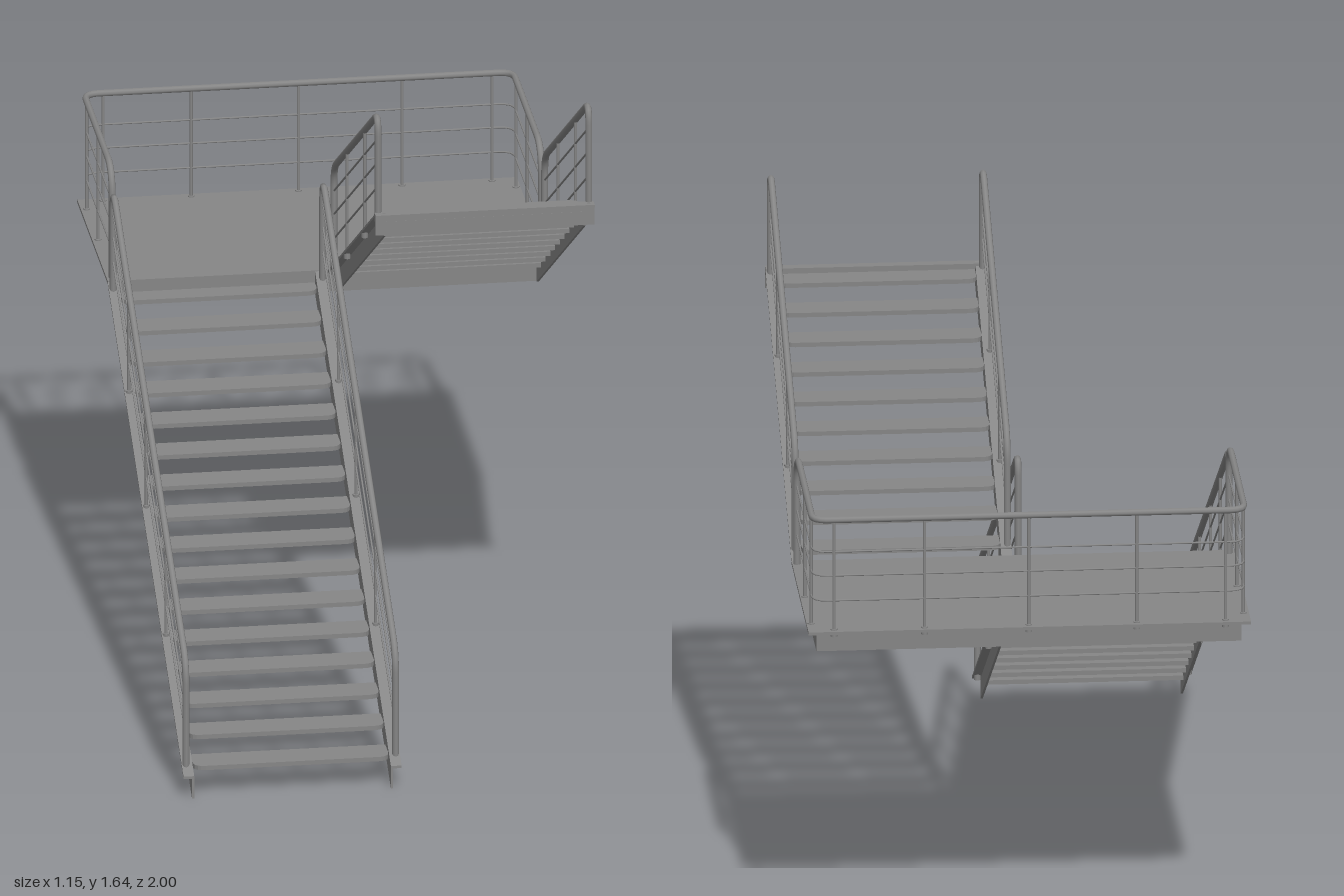
import * as THREE from 'three';

const steel = new THREE.MeshStandardMaterial({ color: 0x868686, side: THREE.DoubleSide });
const V = (x, y, z) => new THREE.Vector3(x, y, z);
const SLOPE = 0.571;
const BAR_HEIGHTS = [0.08, 0.148, 0.213];
const POST_RADIUS = 0.0042, BAR_RADIUS = 0.0026;

function add(parent, name, geometry) {
  const mesh = new THREE.Mesh(geometry, steel);
  mesh.name = name;
  parent.add(mesh);
  return mesh;
}

// Box given by its limits on each axis
function box(parent, name, x0, x1, y0, y1, z0, z1) {
  const g = new THREE.BoxGeometry(x1 - x0, y1 - y0, z1 - z0);
  g.translate((x0 + x1) / 2, (y0 + y1) / 2, (z0 + z1) / 2);
  return add(parent, name, g);
}

// Side outline in (z, y), extruded from x0 to x1
function slab(parent, name, outline, x0, x1) {
  const shape = new THREE.Shape(outline.map(([z, y]) => new THREE.Vector2(z, y)));
  const g = new THREE.ExtrudeGeometry(shape, { depth: x1 - x0, bevelEnabled: false });
  g.rotateY(-Math.PI / 2).translate(x1, 0, 0);
  return add(parent, name, g);
}

// Tube along a polyline whose inner corners are rounded
function bentTube(parent, name, points, corner, radius, segments) {
  const path = new THREE.CurvePath();
  let from = points[0];
  for (let i = 1; i < points.length - 1; i++) {
    const p = points[i];
    const a = p.clone().add(points[i - 1].clone().sub(p).setLength(corner[i - 1]));
    const b = p.clone().add(points[i + 1].clone().sub(p).setLength(corner[i - 1]));
    path.add(new THREE.LineCurve3(from, a));
    path.add(new THREE.QuadraticBezierCurve3(a, p, b));
    from = b;
  }
  path.add(new THREE.LineCurve3(from, points[points.length - 1]));
  return add(parent, name, new THREE.TubeGeometry(path, segments, radius, 8, false));
}

// Straight round bar between two points
function rod(parent, name, a, b, radius) {
  const g = new THREE.CylinderGeometry(radius, radius, a.distanceTo(b), 8);
  const mesh = add(parent, name, g);
  mesh.position.copy(a).lerp(b, 0.5);
  mesh.quaternion.setFromUnitVectors(V(0, 1, 0), b.clone().sub(a).normalize());
  return mesh;
}

const foot = (parent, x, y, z) =>
  rod(parent, 'postFoot', V(x, y - 0.018, z), V(x, y + 0.003, z), 0.009);

// Thin plate with rounded corners on its nosing (+z) edge
function treadGeometry(width, depth) {
  const w = width / 2, d = depth / 2, r = 0.03;
  const s = new THREE.Shape();
  s.moveTo(-w + r, -d);
  s.lineTo(w - r, -d).quadraticCurveTo(w, -d, w, -d + r);
  s.lineTo(w, d).lineTo(-w, d);
  s.lineTo(-w, -d + r).quadraticCurveTo(-w, -d, -w + r, -d);
  const g = new THREE.ExtrudeGeometry(s, { depth: 0.012, bevelEnabled: false, curveSegments: 5 });
  return g.rotateX(-Math.PI / 2);
}

// Angle-section stringer: upright web and an outward top flange
function stringer(parent, topAt, z0, z1, web, side) {
  const strip = (height) => [
    [z0, topAt(z0) - height], [z1, topAt(z1) - height], [z1, topAt(z1)], [z0, topAt(z0)],
  ];
  const edge = web + side * 0.025;
  slab(parent, 'stringerWeb', strip(0.062), web - 0.003, web + 0.003);
  slab(parent, 'stringerFlange', strip(0.007), Math.min(web, edge), Math.max(web, edge));
}

// Handrail with bent ends, thin posts and three sloping bars
function stairRail(parent, topAt, x, zA, zB, posts) {
  const rise = 0.28;
  const at = (z, h) => V(x, topAt(z) + h, z);
  bentTube(parent, 'handrail', [at(zA, 0), at(zA, rise), at(zB, rise), at(zB, 0)],
    [0.055, 0.055], 0.009, 120);
  for (const z of posts) rod(parent, 'railPost', at(z, 0), at(z, rise), POST_RADIUS);
  for (const z of [zA, zB, ...posts]) foot(parent, x, topAt(z), z);
  for (const h of BAR_HEIGHTS) rod(parent, 'railBar', at(zA, h), at(zB, h), BAR_RADIUS);
}

function flight(name, o) {
  const group = new THREE.Group();
  group.name = name;
  stringer(group, o.topAt, o.z0, o.z1, o.webs[0], -1);
  stringer(group, o.topAt, o.z0, o.z1, o.webs[1], 1);
  const tread = treadGeometry(o.webs[1] - o.webs[0] - 0.008, 0.085);
  for (let i = 0; i < o.count; i++) {
    const mesh = add(group, 'tread', tread);
    mesh.position.set((o.webs[0] + o.webs[1]) / 2, o.treadY + i * 0.0508,
      o.treadZ + o.dir * (i * o.run + 0.0425));
    // The nosing faces down the flight
    mesh.rotation.y = o.dir > 0 ? Math.PI : 0;
  }
  for (const x of o.rails) stairRail(group, o.topAt, x, o.railZ[0], o.railZ[1], o.posts);
  return group;
}

function landing() {
  const group = new THREE.Group();
  group.name = 'landing';
  const top = 0.88, low = 0.82;
  box(group, 'landingPlate', -0.575, 0.572, top - 0.008, top, -1, -0.425);
  // Frame webs and joists below the plate
  for (const x of [-0.549, 0.547]) box(group, 'frameSide', x - 0.003, x + 0.003, low, top - 0.004, -0.975, -0.425);
  for (const z of [-0.972, -0.428]) box(group, 'frameEnd', -0.549, 0.547, low, top - 0.004, z - 0.003, z + 0.003);
  for (const x of [-0.275, 0, 0.275]) box(group, 'joist', x - 0.004, x + 0.004, 0.83, top - 0.004, -0.972, -0.428);

  // Guard rail wrapping three sides
  const X = 0.56, zF = -0.45, zB = -0.982, railY = 1.18;
  bentTube(group, 'guardRail', [
    V(-X, top, zF), V(-X, railY, zF), V(-X, railY, zB),
    V(X, railY, zB), V(X, railY, zF), V(X, top, zF),
  ], [0.08, 0.04, 0.04, 0.08], 0.009, 200);
  for (const h of BAR_HEIGHTS) {
    const y = top + h;
    bentTube(group, 'guardBar', [V(-X, y, zF), V(-X, y, zB), V(X, y, zB), V(X, y, zF)],
      [0.04, 0.04], BAR_RADIUS, 120);
  }
  const posts = [-0.51, -0.28, 0, 0.27, 0.505].map((x) => [x, zB]);
  for (const x of [-X, X]) posts.push([x, -0.715], [x, -0.93]);
  for (const [x, z] of posts) {
    rod(group, 'guardPost', V(x, top, z), V(x, railY, z), POST_RADIUS);
    foot(group, x, top, z);
  }
  for (const x of [-X, X]) foot(group, x, top, zF);
  return group;
}

export function createModel() {
  const model = new THREE.Group();
  model.name = 'staircase';

  model.add(flight('lowerFlight', {
    topAt: (z) => 0.064 + SLOPE * (1 - z),
    z0: 1, z1: -0.425, webs: [-0.55, -0.031], count: 16, dir: -1, run: 0.09,
    treadY: 0.073, treadZ: 0.985,
    rails: [-0.564, -0.017], railZ: [0.965, -0.405], posts: [0.59, 0.22, -0.11],
  }));
  model.add(landing());

  const upper = flight('upperFlight', {
    topAt: (z) => 0.88 + SLOPE * (z + 0.425),
    z0: -0.425, z1: 0.455, webs: [0.025, 0.547], count: 10, dir: 1, run: 0.0885,
    treadY: 0.893, treadZ: -0.42,
    rails: [0.01, 0.56], railZ: [0.44, -0.39], posts: [0.19, -0.14],
  });
  // Angle closing the top of the upper flight
  box(upper, 'topEndPlate', 0, 0.572, 1.325, 1.382, 0.455, 0.461);
  box(upper, 'topEndFlange', 0, 0.572, 1.375, 1.382, 0.44, 0.467);
  model.add(upper);
  return model;
}
